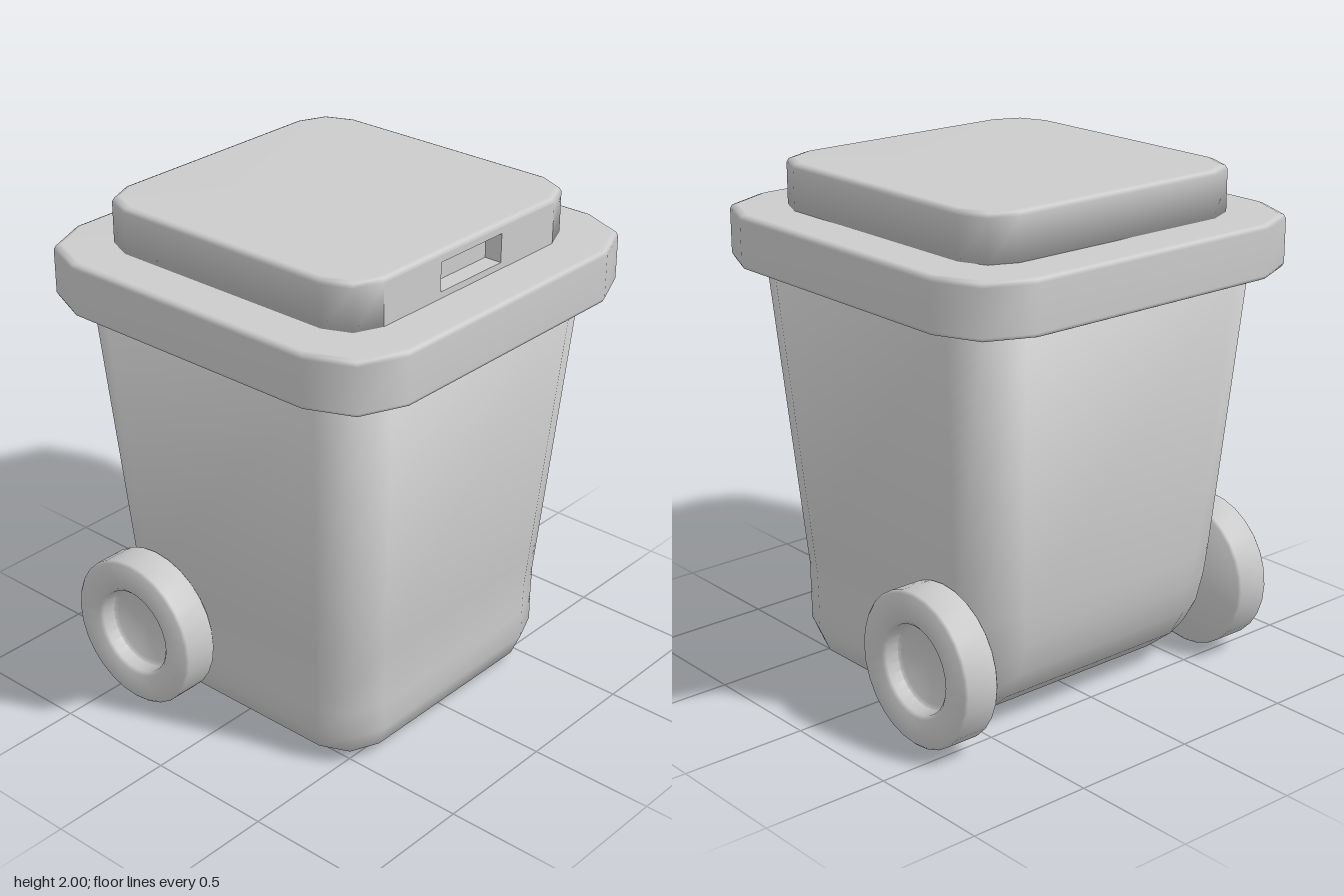
import * as THREE from 'three';
import { toCreasedNormals } from 'three/addons/utils/BufferGeometryUtils.js';

const material = new THREE.MeshStandardMaterial({ color: 0xcccccc });

function part(name, geometry) {
  const mesh = new THREE.Mesh(geometry, material);
  mesh.name = name;
  return mesh;
}

// Rectangle with two-segment corners, as 12 points running from +x towards +z
function ring({ y, hx, front = hx, back = hx, c }) {
  const m = c * 0.3;
  const points = [];
  [[1, 1], [-1, 1], [-1, -1], [1, -1]].forEach(([sx, sz], i) => {
    const d = sz > 0 ? front : back;
    const corner = [[hx, d - c], [hx - m, d - m], [hx - c, d]];
    if (i % 2) corner.reverse();
    corner.forEach(([x, z]) => points.push([sx * x, y, sz * z]));
  });
  return points;
}

// Skin over stacked rings with closed ends; skip(level, side) leaves a gap
function loft(levels, skip = () => false) {
  const rings = levels.map(ring);
  const n = 12, last = rings.length - 1;
  const middle = (l) => [0, levels[l].y, (rings[l][2][2] + rings[l][8][2]) / 2];
  const positions = [...rings.flat(), middle(0), middle(last)].flat();
  const bottom = rings.length * n, top = bottom + 1;
  const index = [];
  for (let i = 0; i < n; i++) {
    const j = (i + 1) % n;
    for (let l = 0; l < last; l++) {
      if (skip(l, i)) continue;
      const a = l * n + i, b = l * n + j;
      index.push(a, a + n, b, b, a + n, b + n);
    }
    index.push(bottom, i, j, top, last * n + j, last * n + i);
  }
  const geometry = new THREE.BufferGeometry();
  geometry.setAttribute('position', new THREE.Float32BufferAttribute(positions, 3));
  geometry.setIndex(index);
  geometry.computeVertexNormals();
  return geometry;
}

// Rectangular outline for the grip opening
function rectangle(target, x0, x1, y0, y1) {
  target.moveTo(x0, y0);
  target.lineTo(x1, y0);
  target.lineTo(x1, y1);
  target.lineTo(x0, y1);
  target.closePath();
  return target;
}

function createLid() {
  const lid = new THREE.Group();
  lid.name = 'lid';
  const h = 0.62, c = 0.15, y0 = 1.81, y1 = 1.98;
  lid.add(part('lidShell', loft([
    { y: y0, hx: h, c },
    { y: y1, hx: h, c },
    { y: 1.994, hx: h - 0.006, c },
    { y: 2, hx: h - 0.02, c },
  ], (level, side) => level === 0 && side === 2)));

  // Front panel pierced by the grip opening
  const [gx0, gx1, gy0, gy1, depth] = [-0.17, 0.165, 1.845, 1.955, 0.07];
  const panel = rectangle(new THREE.Shape(), -(h - c), h - c, y0, y1);
  panel.holes.push(rectangle(new THREE.Path(), gx0, gx1, gy0, gy1));
  const front = part('lidFront', new THREE.ShapeGeometry(panel));
  front.position.z = h;
  lid.add(front);

  // Grip pocket: an open box turned inside out
  const pocket = new THREE.BoxGeometry(gx1 - gx0, gy1 - gy0, depth);
  const faces = Array.from(pocket.index.array);
  faces.splice(24, 6);
  pocket.setIndex(faces.reverse());
  pocket.clearGroups();
  pocket.computeVertexNormals();
  const grip = part('gripPocket', pocket);
  grip.position.set((gx0 + gx1) / 2, (gy0 + gy1) / 2, h - depth / 2);
  lid.add(grip);
  return lid;
}

function createWheel(side) {
  const profile = [
    [0, 0], [0.29, 0], [0.3, 0.01], [0.3, 0.14], [0.29, 0.15],
    [0.185, 0.15], [0.172, 0.138], [0.166, 0.09], [0.15, 0.08], [0, 0.075],
  ].map(([r, y]) => new THREE.Vector2(r, y));
  const geometry = new THREE.LatheGeometry(profile, 28).rotateZ(-Math.PI / 2);
  const wheel = part(side > 0 ? 'leftWheel' : 'rightWheel', toCreasedNormals(geometry, 0.9));
  wheel.position.set(side * 0.615, 0.31, -0.38);
  if (side < 0) wheel.rotation.y = Math.PI;
  return wheel;
}

export function createModel() {
  const model = new THREE.Group();
  model.name = 'wheeledBin';

  // Tapered body, its lower back swept forward between the wheels
  model.add(part('body', loft([
    { y: 0, hx: 0.46, back: 0.22, c: 0.1 },
    { y: 0.018, hx: 0.505, back: 0.31, c: 0.13 },
    { y: 0.05, hx: 0.565, back: 0.39, c: 0.16 },
    { y: 0.14, hx: 0.6, back: 0.5, c: 0.18 },
    { y: 0.25, hx: 0.6, back: 0.565, c: 0.18 },
    { y: 0.38, hx: 0.602, back: 0.6, c: 0.18 },
    { y: 0.5, hx: 0.611, back: 0.612, c: 0.18 },
    { y: 1.63, hx: 0.697, c: 0.19 },
  ])));

  // Wide rim with softened edges
  const h = 0.805, c = 0.25;
  model.add(part('rim', loft([
    { y: 1.61, hx: h - 0.02, c },
    { y: 1.616, hx: h - 0.006, c },
    { y: 1.63, hx: h, c },
    { y: 1.8, hx: h, c },
    { y: 1.814, hx: h - 0.006, c },
    { y: 1.82, hx: h - 0.02, c },
  ])));

  model.add(createLid());

  // Axle running through the body
  const axle = part('axle', new THREE.CylinderGeometry(0.04, 0.04, 1.24, 16).rotateZ(Math.PI / 2));
  axle.position.set(0, 0.31, -0.38);
  model.add(axle);
  for (const side of [1, -1]) model.add(createWheel(side));

  return model;
}
